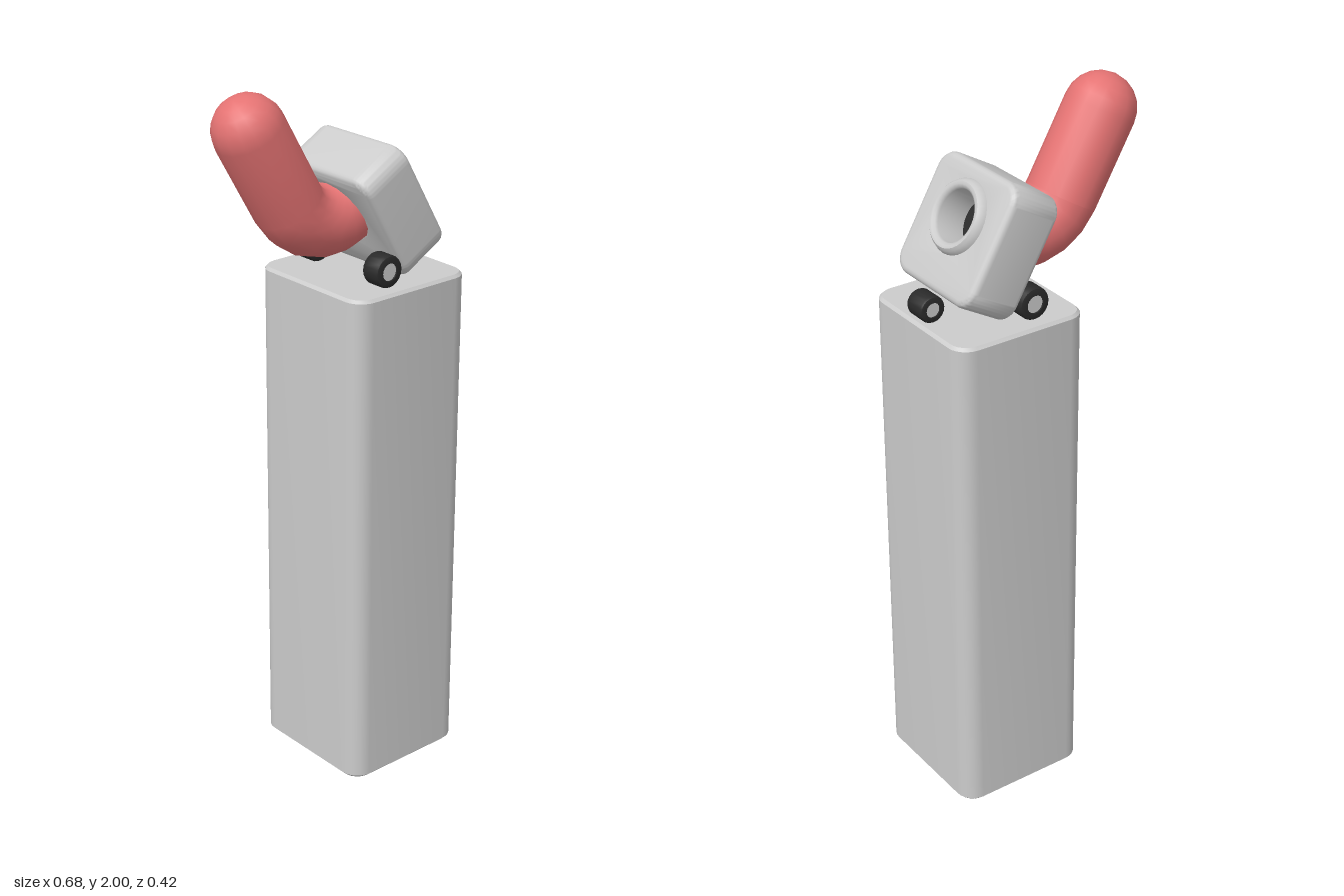
import * as THREE from 'three';
import { toCreasedNormals } from 'three/addons/utils/BufferGeometryUtils.js';

const grey = new THREE.MeshStandardMaterial({ color: 0xcccccc });
const red = new THREE.MeshStandardMaterial({ color: 0xe57373 });
const black = new THREE.MeshStandardMaterial({ color: 0x2a2a2a });

function part(parent, name, geometry, material) {
  const mesh = new THREE.Mesh(geometry, material);
  mesh.name = name;
  parent.add(mesh);
  return mesh;
}

// Rounded rectangle centred on the origin
function roundedRect(w, h, r) {
  const s = new THREE.Shape();
  const x = w / 2 - r, y = h / 2 - r;
  s.absarc(x, y, r, 0, Math.PI / 2);
  s.absarc(-x, y, r, Math.PI / 2, Math.PI);
  s.absarc(-x, -y, r, Math.PI, Math.PI * 1.5);
  s.absarc(x, -y, r, Math.PI * 1.5, Math.PI * 2);
  s.closePath();
  return s;
}

// Extrusion with a rounded bevel, kept within the given size
function block(shape, depth, bevel, bevelSegments, curveSegments) {
  const g = new THREE.ExtrudeGeometry(shape, {
    depth: depth - 2 * bevel, bevelThickness: bevel, bevelSize: bevel,
    bevelSegments, curveSegments,
  });
  g.translate(0, 0, -depth / 2 + bevel);
  return toCreasedNormals(g, 0.75);
}

const lathe = (pts, n) =>
  toCreasedNormals(new THREE.LatheGeometry(pts.map(p => new THREE.Vector2(p[0], p[1])), n), 0.75);

// Wheel with its axle along z
function wheel(parent, name, r, width, x, y, z) {
  const g = new THREE.Group();
  g.name = name;
  const h = width / 2, b = r * 0.2, hub = r * 0.55;
  const tyre = lathe([[hub, -h + b], [hub, -h], [r - b, -h], [r - b * 0.3, -h + b * 0.3], [r, -h + b],
    [r, h - b], [r - b * 0.3, h - b * 0.3], [r - b, h], [hub, h], [hub, h - b]], 20);
  part(g, 'tyre', tyre.rotateX(Math.PI / 2), black);
  const core = new THREE.CylinderGeometry(hub, hub, width - b, 16);
  part(g, 'hub', core.rotateX(Math.PI / 2), grey);
  g.position.set(x, y, z);
  parent.add(g);
}

export function createModel() {
  const model = new THREE.Group();

  // Tall pedestal
  const pedestal = block(roundedRect(0.382, 0.402, 0.046), 1.455, 0.008, 1, 3);
  pedestal.rotateX(-Math.PI / 2);
  part(model, 'pedestal', pedestal, grey).position.set(0.138, 0.7275, 0);

  // Tilted assembly: local x is the direction the head faces
  const tilted = new THREE.Group();
  tilted.name = 'tiltedHead';
  tilted.position.set(0.14, 1.645, 0);
  tilted.rotation.z = Math.PI / 6;
  model.add(tilted);

  const axisY = 0.03;
  const bevel = 0.018;

  // Rounded head block with a bore
  const face = roundedRect(0.34 - 2 * bevel, 0.34 - 2 * bevel, 0.035);
  const bore = new THREE.Path();
  bore.absarc(0, axisY, 0.1, 0, Math.PI * 2, true);
  face.holes.push(bore);
  part(tilted, 'headBlock', block(face, 0.16, bevel, 4, 8).rotateY(Math.PI / 2), grey);

  // Raised lip and inner wall of the bore
  const lip = lathe([[0.102, 0.075], [0.1, 0.084], [0.094, 0.095], [0.088, 0.101],
    [0.08, 0.101], [0.073, 0.096], [0.07, 0.088], [0.07, -0.01]].reverse(), 32);
  const lipMaterial = grey.clone();
  lipMaterial.side = THREE.DoubleSide;
  part(tilted, 'boreLip', lip.rotateZ(-Math.PI / 2), lipMaterial).position.y = axisY;

  const floor = new THREE.CircleGeometry(0.08, 32).rotateY(Math.PI / 2);
  part(tilted, 'boreFloor', floor, black).position.set(0, axisY, 0);

  // Bent pipe: short stub, right-angle elbow, straight length with domed end
  const pr = 0.097, bend = 0.14, px = -0.207;
  const pipe = new THREE.Group();
  pipe.name = 'bentPipe';
  tilted.add(pipe);
  const stub = new THREE.CylinderGeometry(pr, pr, 0.06, 16).rotateZ(Math.PI / 2);
  part(pipe, 'pipeStub', stub, red).position.set(px + bend + 0.03, axisY, 0);

  const elbow = new THREE.TorusGeometry(bend, pr, 16, 5, Math.PI / 2).rotateZ(Math.PI);
  part(pipe, 'pipeElbow', elbow, red).position.set(px + bend, axisY + bend, 0);

  const straight = 0.246;
  const profile = [[pr, 0], [pr, straight]];
  for (let i = 1; i <= 4; i++) {
    const a = (i / 4) * 1.2;
    profile.push([pr * Math.cos(a), straight + pr * Math.sin(a)]);
  }
  profile.push([0, straight + pr]);
  part(pipe, 'pipeArm', lathe(profile, 16), red).position.set(px, axisY + bend, 0);

  // Rear wheel pair and single front wheel
  for (const s of [1, -1]) {
    wheel(model, s > 0 ? 'rearWheelFront' : 'rearWheelBack', 0.045, 0.062, 0.08, 1.5, s * 0.141);
  }
  wheel(model, 'noseWheel', 0.037, 0.07, 0.301, 1.492, 0);

  return model;
}
